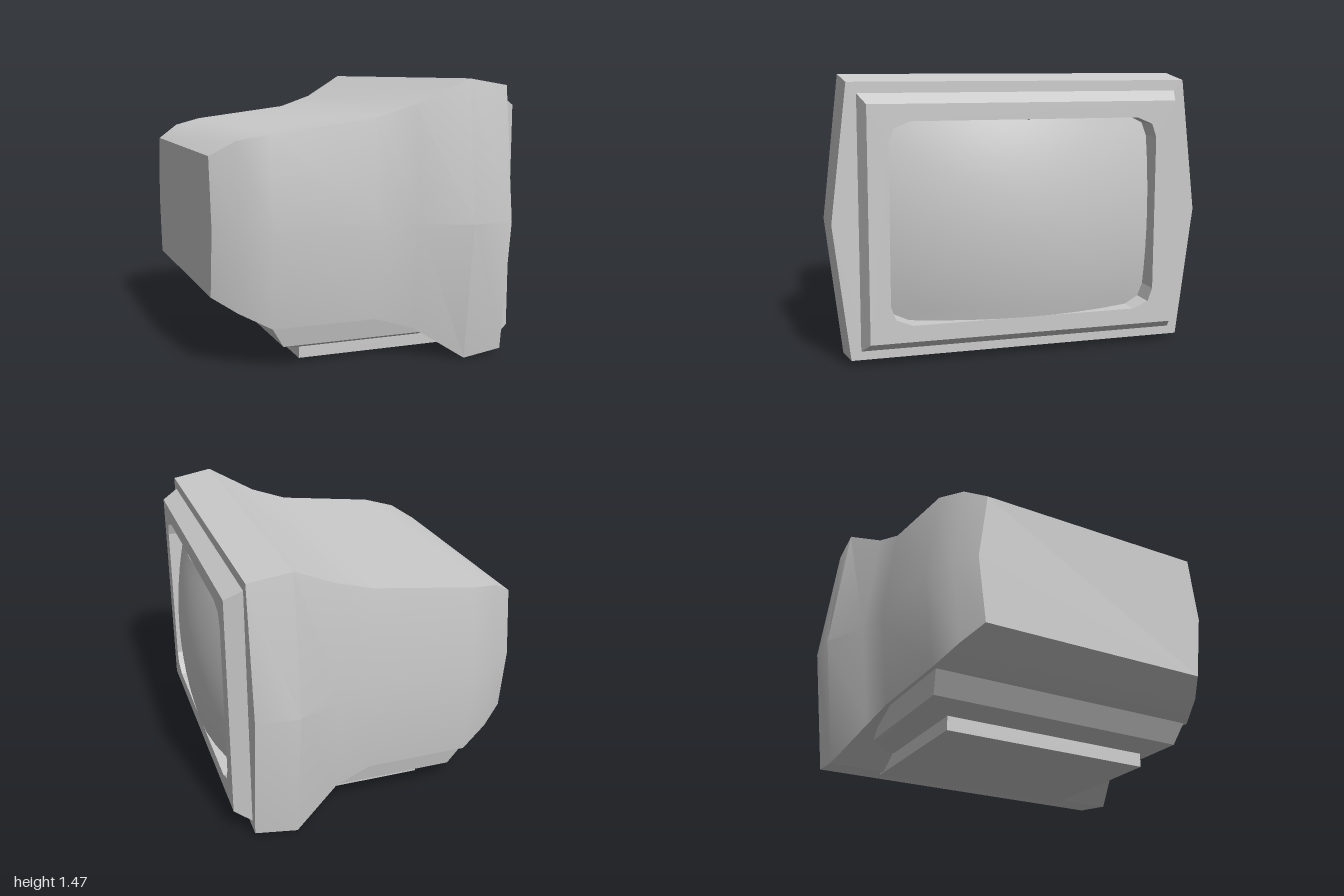
import * as THREE from 'three';
import { toCreasedNormals } from 'three/addons/utils/BufferGeometryUtils.js';

const material = new THREE.MeshStandardMaterial({ color: 0xcccccc });
const MID_Y = 0.73;

function add(group, name, geometry) {
  const mesh = new THREE.Mesh(geometry, material);
  mesh.name = name;
  group.add(mesh);
  return mesh;
}

// Skin a row of equal-length loops, counter-clockwise seen from the last one.
function loft(loops, capStart, capEnd) {
  const n = loops[0].length, pos = [];
  const tri = (a, b, c) => pos.push(...a, ...b, ...c);
  for (let i = 0; i < loops.length - 1; i++) {
    for (let j = 0; j < n; j++) {
      const k = (j + 1) % n, p = loops[i], q = loops[i + 1];
      tri(p[j], p[k], q[k]);
      tri(p[j], q[k], q[j]);
    }
  }
  const first = loops[0], last = loops[loops.length - 1];
  for (let j = 1; j < n - 1; j++) {
    if (capStart) tri(first[0], first[j + 1], first[j]);
    if (capEnd) tri(last[0], last[j], last[j + 1]);
  }
  const g = new THREE.BufferGeometry();
  g.setAttribute('position', new THREE.Float32BufferAttribute(pos, 3));
  return toCreasedNormals(g, Math.PI / 6);
}

const toPoints = (list) => list.map(([x, y]) => new THREE.Vector2(x, y));
const rect = (w, y0, y1) => [[-w, y0], [w, y0], [w, y1], [-w, y1]];

// Six-sided housing section, widest at mid height.
const section = (y0, y1, edge, mid) =>
  [[-edge, y0], [edge, y0], [mid, MID_Y], [edge, y1], [-edge, y1], [-mid, MID_Y]];

// Screen opening with clipped corners.
function screenOutline() {
  const top = [[0.71, 1.135], [0.685, 1.205], [0.6, 1.24]];
  const right = [...top.map(([x, y]) => [x, 2 * 0.7275 - y]).reverse(), ...top];
  return [...right, ...right.map(([x, y]) => [-x, y]).reverse()];
}

// Bulging glass: concentric copies of the opening, raised by a dome rule.
function glassGeometry() {
  const outline = screenOutline(), rim = [], pos = [], index = [];
  outline.forEach(([x, y], i) => {
    const [nx, ny] = outline[(i + 1) % outline.length];
    const steps = Math.hypot(nx - x, ny - y) > 0.3 ? 8 : 1;
    for (let s = 0; s < steps; s++) {
      rim.push([x + (nx - x) * s / steps, y + (ny - y) * s / steps]);
    }
  });
  const rings = 8, n = rim.length;
  for (let r = 0; r <= rings; r++) {
    for (const [rx, ry] of rim) {
      const x = rx * r / rings, dy = (ry - MID_Y) * r / rings;
      pos.push(x, MID_Y + dy, 0.83 - 0.3 * x * x - 0.235 * dy * dy);
    }
  }
  for (let r = 0; r < rings; r++) {
    for (let j = 0; j < n; j++) {
      const a = r * n + j, b = r * n + (j + 1) % n;
      if (r > 0) index.push(a, a + n, b);
      index.push(b, a + n, b + n);
    }
  }
  const g = new THREE.BufferGeometry();
  g.setAttribute('position', new THREE.Float32BufferAttribute(pos, 3));
  g.setIndex(index);
  g.computeVertexNormals();
  // the collapsed centre ring has one shared upward normal
  for (let j = 0; j < n; j++) g.attributes.normal.setXYZ(j, 0, 0, 1);
  return g;
}

// Frame around the glass, flared towards its back edge.
function bezelGeometry() {
  const shape = new THREE.Shape(toPoints(rect(0.815, 0.13, 1.325)));
  shape.holes.push(new THREE.Path(toPoints(screenOutline().reverse())));
  const g = new THREE.ExtrudeGeometry(shape, { depth: 0.165, bevelEnabled: false });
  g.translate(0, 0, 0.6);
  const p = g.attributes.position;
  for (let i = 0; i < p.count; i++) {
    if (p.getZ(i) < 0.65 && Math.abs(p.getX(i)) > 0.8) {
      p.setXYZ(i, Math.sign(p.getX(i)) * 0.85, p.getY(i) < MID_Y ? 0.075 : 1.375, 0.675);
    }
  }
  g.computeVertexNormals();
  return g;
}

export function createModel() {
  const group = new THREE.Group();
  group.name = 'monitor';
  const inner = new THREE.Group();
  inner.name = 'monitorParts';
  inner.rotation.y = Math.PI / 2; // the screen looks along +x
  group.add(inner);

  // Housing: depth, bottom, top, half width at the edges, half width at mid height
  const stations = [
    [-0.84, 0.38, 1.09, 0.645, 0.69],
    [-0.72, 0.305, 1.165, 0.72, 0.765],
    [-0.56, 0.225, 1.2, 0.785, 0.845],
    [0, 0.225, 1.27, 0.785, 0.845],
    [0.2, 0.165, 1.335, 0.815, 0.88],
    [0.45, 0.005, 1.465, 0.915, 1.0],
    [0.675, 0.03, 1.43, 0.9, 0.985],
  ];
  const loops = stations.map(([z, ...s]) => section(...s).map(([x, y]) => [x, y, z]));
  add(inner, 'housing', loft(loops, true, false));

  // Flat front rim of the housing
  const rim = new THREE.Shape(toPoints(section(...stations[6].slice(1))));
  rim.holes.push(new THREE.Path(toPoints(rect(0.83, 0.1, 1.35).reverse())));
  add(inner, 'frontRim', new THREE.ShapeGeometry(rim).translate(0, 0, 0.675));

  add(inner, 'bezel', bezelGeometry());
  add(inner, 'screen', glassGeometry());

  // Tray under the housing: height, half width, back, front
  const tray = [
    [0.23, 0.765, -0.56, 0.3],
    [0.115, 0.74, -0.49, 0.3],
    [0.075, 0.64, -0.355, 0.32],
  ].map(([y, w, z0, z1]) => rect(w, z0, z1).map(([x, z]) => [x, y, z]));
  add(inner, 'tray', loft(tray, true, true));

  // Foot plate
  add(inner, 'foot', new THREE.BoxGeometry(1.2, 0.08, 0.87)).position.set(0, 0.04, 0.075);
  return group;
}
